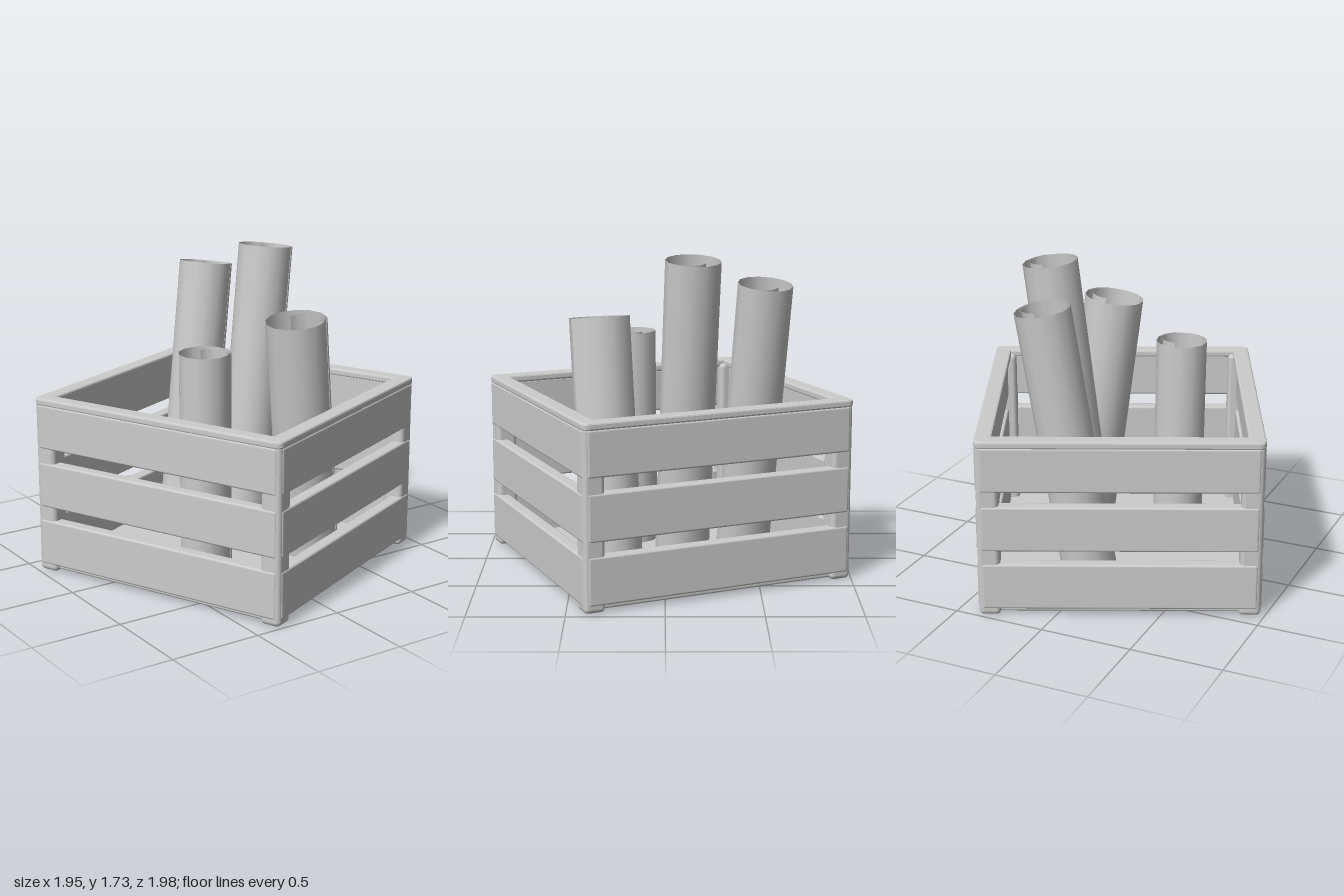
import * as THREE from 'three';
import { RoundedBoxGeometry } from 'three/addons/geometries/RoundedBoxGeometry.js';

const W = 0.742, D = 0.767; // half width and half depth of the crate

// Rectangle outline with rounded corners
function roundedRect(path, hw, hd, r) {
  path.moveTo(-hw + r, -hd);
  path.lineTo(hw - r, -hd);
  path.quadraticCurveTo(hw, -hd, hw, -hd + r);
  path.lineTo(hw, hd - r);
  path.quadraticCurveTo(hw, hd, hw - r, hd);
  path.lineTo(-hw + r, hd);
  path.quadraticCurveTo(-hw, hd, -hw, hd - r);
  path.lineTo(-hw, -hd + r);
  path.quadraticCurveTo(-hw, -hd, -hw + r, -hd);
  return path;
}

// Sheet rolled into a loose spiral, standing on y = 0
function rollGeometry(radius, height) {
  const steps = 18, pos = [], index = [];
  for (let i = 0; i <= steps; i++) {
    const t = i / steps;
    const a = THREE.MathUtils.degToRad(-75 + 490 * t);
    const r = radius * (0.5 + 0.5 * Math.min(1, t / 0.2) + 0.1 * t);
    const x = r * Math.cos(a), z = r * Math.sin(a);
    pos.push(x, 0, z, x, height, z);
    if (i < steps) {
      const k = i * 2;
      index.push(k, k + 1, k + 2, k + 1, k + 3, k + 2);
    }
  }
  const g = new THREE.BufferGeometry();
  g.setAttribute('position', new THREE.Float32BufferAttribute(pos, 3));
  g.setIndex(index);
  g.computeVertexNormals();
  return g;
}

export function createModel() {
  const grey = new THREE.MeshStandardMaterial({ color: 0xcccccc, side: THREE.DoubleSide });
  grey.name = 'plain grey';
  const model = new THREE.Group();
  model.name = 'crateWithRolls';

  const crate = new THREE.Group();
  crate.name = 'crate';
  crate.rotation.y = 0.415;
  model.add(crate);

  const add = (parent, name, geometry, x, y, z) => {
    const mesh = new THREE.Mesh(geometry, grey);
    mesh.name = name;
    mesh.position.set(x, y, z);
    parent.add(mesh);
    return mesh;
  };
  const box = (name, w, h, d, x, y, z, r = 0.012) =>
    add(crate, name, new RoundedBoxGeometry(w, h, d, 2, r), x, y, z);

  // Corner posts, reaching below the floor as feet
  for (const sx of [-1, 1]) for (const sz of [-1, 1]) {
    box('cornerPost', 0.115, 0.96, 0.115, sx * (W - 0.062), 0.48, sz * (D - 0.062), 0.025);
  }

  // Three slats on each of the four sides
  for (const [bottom, top] of [[0.04, 0.295], [0.37, 0.62], [0.70, 0.945]]) {
    const h = top - bottom, y = (top + bottom) / 2;
    for (const s of [-1, 1]) {
      box('slat', 2 * W - 0.05, h, 0.07, 0, y, s * (D - 0.035));
      box('sideSlat', 0.07, h, 2 * D - 0.05, s * (W - 0.035), y, 0);
    }
  }

  // Floor board
  box('floor', 2 * W - 0.06, 0.04, 2 * D - 0.06, 0, 0.032, 0);

  // Rim around the top
  const b = 0.01;
  const shape = roundedRect(new THREE.Shape(), W - b, D - b, 0.03);
  shape.holes.push(roundedRect(new THREE.Path(), W - 0.09 + b, D - 0.09 + b, 0.008));
  const rimGeometry = new THREE.ExtrudeGeometry(shape, {
    depth: 0.02, bevelEnabled: true, bevelSize: b, bevelThickness: b, bevelSegments: 2, curveSegments: 5,
  });
  rimGeometry.rotateX(-Math.PI / 2);
  add(crate, 'topRim', rimGeometry, 0, 0.95, 0);

  // Leaning paper rolls: base, top and radius
  const rolls = [
    [[-0.27, 0.05, 0.18], [-0.28, 1.25, 0.19], 0.13],
    [[0.35, 0.05, 0.28], [0.195, 1.395, 0.35], 0.155],
    [[0.15, 0.05, -0.09], [0.345, 1.71, -0.145], 0.14],
    [[-0.02, 0.05, -0.43], [0.2, 1.57, -0.53], 0.14],
  ];
  const up = new THREE.Vector3(0, 1, 0);
  for (const [from, to, radius] of rolls) {
    const axis = new THREE.Vector3(...to).sub(new THREE.Vector3(...from));
    const roll = add(model, 'paperRoll', rollGeometry(radius, axis.length()), ...from);
    roll.quaternion.setFromUnitVectors(up, axis.normalize());
  }
  return model;
}
